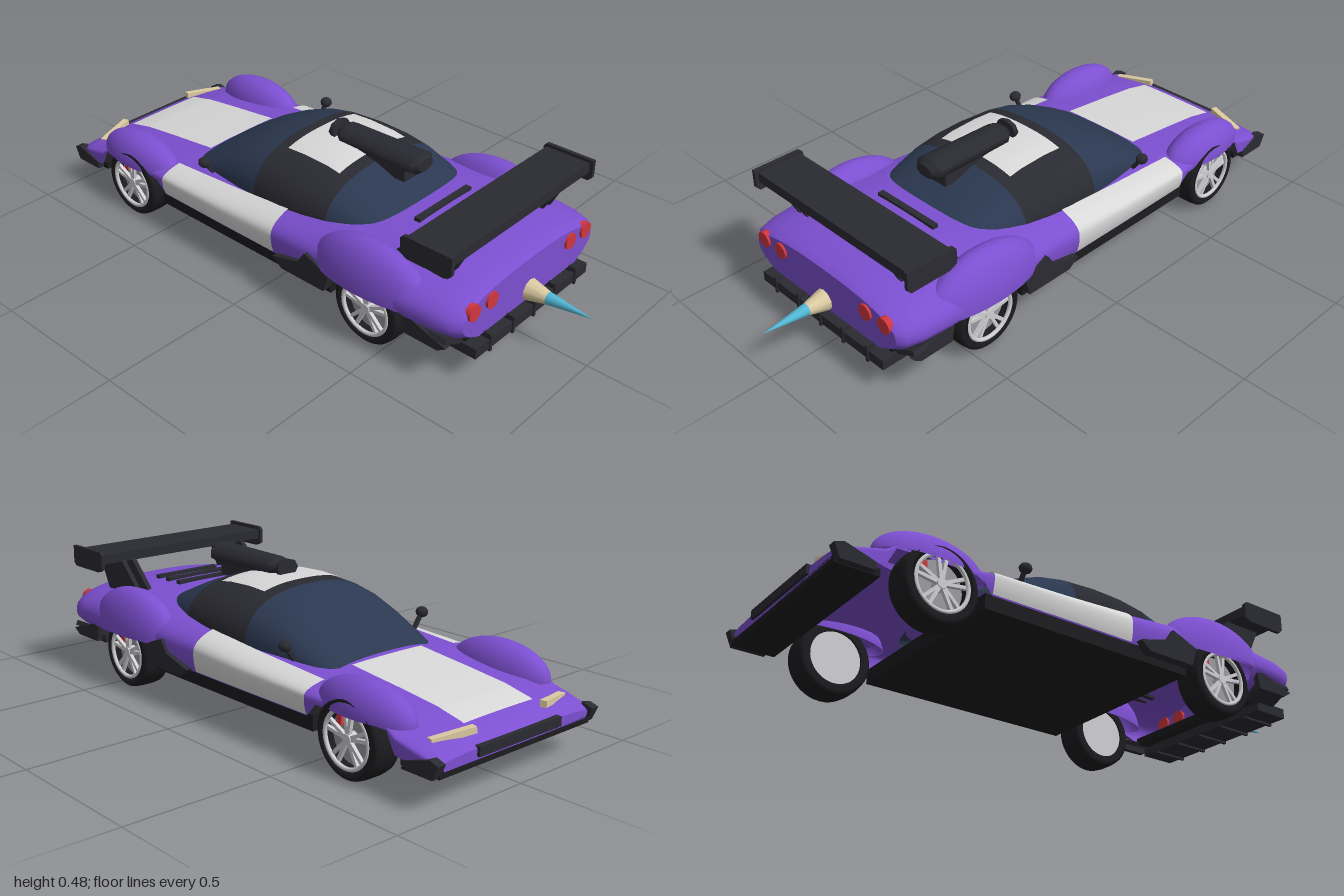
import * as THREE from 'three';

const mat = (name, color, double) => {
  const m = new THREE.MeshStandardMaterial({ color });
  m.name = name;
  if (double) m.side = THREE.DoubleSide;
  return m;
};
const M = {
  paint: mat('purple paint', 0x7c4fd0, true),
  white: mat('white stripe', 0xd8d8d8, true),
  glass: mat('navy glass', 0x2b3850, true),
  trim: mat('black trim', 0x2a2a32, true),
  dark: mat('tyre black', 0x1c1c1f),
  rim: mat('wheel silver', 0xd0d0d4),
  disc: mat('brake grey', 0x9a9aa0),
  red: mat('lamp red', 0xd0363e),
  beige: mat('lamp beige', 0xdccba2),
  flame: mat('flame blue', 0x52b8d6),
};

// Section keys: z, half width, top y, shoulder y, bottom y, tuck of the lower edge
const BODY = [
  [-0.985, 0.32, 0.15, 0.135, 0.115, 0.01], [-0.95, 0.342, 0.175, 0.145, 0.115, 0],
  [-0.9, 0.347, 0.193, 0.155, 0.12, 0], [-0.84, 0.35, 0.206, 0.17, 0.13, 0],
  [-0.81, 0.35, 0.212, 0.195, 0.19, 0], [-0.665, 0.352, 0.23, 0.2, 0.195, 0],
  [-0.53, 0.355, 0.245, 0.2, 0.19, 0], [-0.49, 0.36, 0.25, 0.2, 0.145, 0.01],
  [-0.2, 0.362, 0.275, 0.2, 0.145, 0.01], [0.04, 0.362, 0.3, 0.205, 0.145, 0.01],
  [0.27, 0.37, 0.325, 0.21, 0.15, 0.01], [0.31, 0.375, 0.328, 0.21, 0.195, 0],
  [0.45, 0.384, 0.334, 0.21, 0.195, 0], [0.56, 0.385, 0.332, 0.21, 0.195, 0],
  [0.6, 0.384, 0.329, 0.21, 0.145, 0.08], [0.7, 0.377, 0.318, 0.21, 0.14, 0.09],
  [0.755, 0.362, 0.307, 0.21, 0.138, 0.09], [0.778, 0.335, 0.292, 0.21, 0.142, 0.08],
];
const CABIN = [
  [-0.46, 0.235, 0.262, 0.215, 0.21, 0], [-0.38, 0.249, 0.315, 0.225, 0.22, 0],
  [-0.29, 0.262, 0.365, 0.235, 0.23, 0], [-0.2, 0.275, 0.402, 0.24, 0.235, 0],
  [-0.12, 0.282, 0.418, 0.245, 0.24, 0], [0, 0.286, 0.424, 0.25, 0.245, 0],
  [0.1, 0.283, 0.42, 0.255, 0.25, 0], [0.19, 0.275, 0.405, 0.26, 0.255, 0],
  [0.28, 0.258, 0.373, 0.265, 0.26, 0], [0.35, 0.238, 0.34, 0.27, 0.265, 0],
  [0.395, 0.205, 0.32, 0.275, 0.27, 0],
];
const N = 2.5;

function keyAt(keys, z) {
  let i = 0;
  while (i < keys.length - 2 && z > keys[i + 1][0]) i++;
  const a = keys[i], b = keys[i + 1], f = (z - a[0]) / (b[0] - a[0]);
  return a.map((v, k) => v + (b[k] - v) * f);
}
// Point on a section: |t| <= 1 is the curved top, beyond that the flank
function onSection(keys, z, t) {
  const [, w, top, sh, bot, tuck] = keyAt(keys, z);
  const s = Math.sign(t), u = Math.abs(t);
  if (u > 1) {
    const f = (u - 1) / 0.3;
    return [s * (w - tuck * f * f), sh + (bot - sh) * f, z];
  }
  const a = u * Math.PI / 2;
  return [s * w * Math.sin(a) ** (2 / N), sh + (top - sh) * Math.max(0, Math.cos(a)) ** (2 / N), z];
}
function topPoint(keys, z, x) {
  const [, w, top, sh] = keyAt(keys, z);
  return [x, sh + (top - sh) * Math.max(0, 1 - Math.abs(x / w) ** N) ** (1 / N), z];
}
// Surface over rows of z and columns of a second parameter
function sheet(keys, z0, z1, c0, c1, cols, point) {
  const rows = [z0, ...keys.map(k => k[0]).filter(z => z > z0 + 1e-4 && z < z1 - 1e-4), z1];
  const pos = [], idx = [];
  rows.forEach((z, i) => {
    for (let j = 0; j <= cols; j++) {
      pos.push(...point(keys, z, c0 + (c1 - c0) * j / cols));
      if (i < rows.length - 1 && j < cols) {
        const a = i * (cols + 1) + j, b = a + cols + 1;
        idx.push(a, b, a + 1, a + 1, b, b + 1);
      }
    }
  });
  const g = new THREE.BufferGeometry();
  g.setAttribute('position', new THREE.Float32BufferAttribute(pos, 3));
  g.setIndex(idx);
  g.computeVertexNormals();
  return g;
}
const lifted = f => (k, z, c) => { const p = f(k, z, c); return [p[0] * 1.008, p[1] + 0.004, p[2]]; };

function endCap(z) {
  const pts = [];
  for (let j = 0; j <= 52; j++) {
    const p = onSection(BODY, z, -1.3 + 2.6 * j / 52);
    pts.push(new THREE.Vector2(p[0], p[1]));
  }
  return new THREE.ShapeGeometry(new THREE.Shape(pts)).translate(0, 0, z);
}
// Plate with a side outline of [z, y] points, centred on x
function sidePlate(points, x, thick) {
  const s = new THREE.Shape(points.map(([z, y]) => new THREE.Vector2(-z, y)));
  return new THREE.ExtrudeGeometry(s, { depth: thick, bevelEnabled: false })
    .translate(0, 0, -thick / 2).rotateY(Math.PI / 2).translate(x, 0, 0);
}

function makeWheel() {
  const wheel = new THREE.Group();
  const put = (name, g, m) => { const o = new THREE.Mesh(g, m); o.name = name; wheel.add(o); };
  const tyre = [[0.09, -0.048], [0.112, -0.051], [0.122, -0.043], [0.125, -0.02], [0.125, 0.02],
    [0.122, 0.043], [0.112, 0.051], [0.09, 0.048], [0.09, -0.048]].map(p => new THREE.Vector2(...p));
  put('tyre', new THREE.LatheGeometry(tyre, 40).rotateZ(-Math.PI / 2), M.dark);
  put('rimRing', new THREE.TorusGeometry(0.088, 0.007, 8, 40).rotateY(Math.PI / 2).translate(0.045, 0, 0), M.rim);
  put('brakeDisc', new THREE.CylinderGeometry(0.084, 0.084, 0.01, 32).rotateZ(Math.PI / 2).translate(0.012, 0, 0), M.disc);
  put('innerRim', new THREE.CylinderGeometry(0.09, 0.09, 0.045, 32).rotateZ(Math.PI / 2).translate(-0.02, 0, 0), M.rim);
  put('hub', new THREE.CylinderGeometry(0.016, 0.02, 0.03, 16).rotateZ(-Math.PI / 2).translate(0.032, 0, 0), M.rim);
  for (let i = 0; i < 5; i++) for (const s of [-1, 1]) {
    const g = new THREE.BoxGeometry(0.012, 0.08, 0.011).translate(0.038, 0.048, 0)
      .rotateX(s * 0.16 + i * Math.PI * 0.4);
    put('spoke', g, M.rim);
  }
  put('brakeCaliper', new THREE.BoxGeometry(0.012, 0.04, 0.018).translate(0.022, 0.045, 0.05), M.red);
  return wheel;
}

export function createModel() {
  const car = new THREE.Group();
  car.name = 'car';
  const add = (name, g, m, x = 0, y = 0, z = 0) => {
    const o = new THREE.Mesh(g, m);
    o.name = name;
    o.position.set(x, y, z);
    car.add(o);
    return o;
  };
  const box = (name, w, h, d, m, x, y, z) => add(name, new THREE.BoxGeometry(w, h, d), m, x, y, z);

  // Body shell
  add('bodyShell', sheet(BODY, -0.985, 0.778, -1.3, 1.3, 52, onSection), M.paint);
  add('nosePanel', endCap(-0.985), M.paint);
  add('tailPanel', endCap(0.778), M.paint);
  add('hoodStripe', sheet(BODY, -0.91, -0.47, -0.15, 0.15, 10, lifted(topPoint)), M.white);
  box('floor', 0.69, 0.05, 0.79, M.dark, 0, 0.125, -0.115);

  // Cabin with glass front and rear, and a black roof band
  add('windscreen', sheet(CABIN, -0.46, -0.12, -1.3, 1.3, 40, onSection), M.glass);
  add('roof', sheet(CABIN, -0.12, 0.19, -1.3, 1.3, 40, onSection), M.trim);
  add('rearGlass', sheet(CABIN, 0.19, 0.395, -1.3, 1.3, 40, onSection), M.glass);
  add('roofStripe', sheet(CABIN, -0.075, 0.15, -0.16, 0.16, 10, lifted(topPoint)), M.white);

  // Roof scoop
  const scoop = new THREE.CylinderGeometry(0.052, 0.058, 0.3, 8).rotateY(Math.PI / 8).rotateX(-Math.PI / 2);
  add('roofScoop', scoop.scale(1, 0.62, 1), M.trim, 0, 0.445, 0.195);
  for (const [z, a, b] of [[0.035, 0.052, 0.035], [0.355, 0.035, 0.058]])
    add('scoopEnd', new THREE.CylinderGeometry(a, b, 0.022, 8).rotateY(Math.PI / 8)
      .rotateX(z < 0.1 ? Math.PI / 2 : Math.PI / 2).scale(1, 0.62, 1), M.trim, 0, 0.445, z);
  add('scoopLip', new THREE.CylinderGeometry(0.045, 0.045, 0.016, 8).rotateX(Math.PI / 2).scale(1, 0.7, 1), M.trim, 0, 0.446, 0.004);
  box('scoopBase', 0.07, 0.06, 0.24, M.trim, 0, 0.405, 0.19);

  // Rear deck slats
  for (const z of [0.44, 0.505, 0.565]) box('deckSlat', 0.26, 0.014, 0.022, M.trim, 0, keyAt(BODY, z)[2] + 0.002, z);

  // Rear wing
  box('wingBlade', 0.71, 0.034, 0.16, M.trim, 0, 0.427, 0.655);

  // Rear bumper and diffuser
  box('diffuser', 0.59, 0.035, 0.13, M.trim, 0, 0.11, 0.735);
  box('diffuserTop', 0.57, 0.025, 0.13, M.dark, 0, 0.137, 0.69);
  for (const x of [-0.225, -0.11, 0, 0.11, 0.225]) box('diffuserFin', 0.01, 0.06, 0.135, M.trim, x, 0.115, 0.737);

  // Exhaust and flame
  add('exhaust', new THREE.CylinderGeometry(0.02, 0.038, 0.075, 10).rotateX(Math.PI / 2), M.beige, 0, 0.173, 0.81);
  add('flame', new THREE.ConeGeometry(0.022, 0.165, 10).rotateX(Math.PI / 2), M.flame, 0, 0.173, 0.917);

  // Front splitter
  box('splitter', 0.66, 0.025, 0.14, M.dark, 0, 0.11, -0.915);
  box('noseBar', 0.36, 0.03, 0.02, M.trim, 0, 0.14, -0.985);

  for (const s of [1, -1]) {
    // Wheels and fenders
    for (const [name, z] of [['rearWheel', 0.434], ['frontWheel', -0.665]]) {
      const w = makeWheel();
      w.name = name;
      w.position.set(s * 0.314, 0.125, z);
      if (s < 0) w.rotation.y = Math.PI;
      car.add(w);
    }
    const dome = () => new THREE.SphereGeometry(1, 32, 12, 0, Math.PI * 2, 0, Math.PI / 2);
    add('rearFender', dome().scale(0.082, 0.152, 0.23), M.paint, s * 0.32, 0.198, 0.425);
    add('frontFender', dome().scale(0.077, 0.1, 0.187), M.paint, s * 0.294, 0.195, -0.675);

    // Flank stripe and side scoop
    add('flankStripe', sheet(BODY, -0.49, 0.04, s > 0 ? 0.52 : -1.3, s > 0 ? 1.3 : -0.52, 16, lifted(onSection)), M.white);
    add('sideScoop', sidePlate([[0.3, 0.19], [0.2, 0.228], [0.17, 0.185], [0.06, 0.155], [0.1, 0.125], [0.28, 0.125]],
      s * 0.362, 0.035), M.trim);

    // Wing supports and end plates
    for (const x of [0.268, 0.225])
      add('wingSupport', sidePlate([[0.72, 0.42], [0.58, 0.42], [0.47, 0.31], [0.66, 0.3]], s * x, 0.017), M.trim);
    add('wingEndPlate', sidePlate([[0.748, 0.395], [0.748, 0.455], [0.575, 0.455], [0.565, 0.445], [0.565, 0.395], [0.59, 0.382], [0.735, 0.382]],
      s * 0.359, 0.013), M.trim);

    // Bumper corners
    add('bumperCorner', sidePlate([[0.75, 0.15], [0.72, 0.13], [0.6, 0.13], [0.59, 0.185], [0.62, 0.19]], 0, 0.02)
      .rotateZ(0), M.trim, s * 0.365, 0, 0);
    const strip = box('bumperEdge', 0.1, 0.018, 0.13, M.trim, s * 0.325, 0.147, 0.68);
    strip.rotation.z = s * 0.45;
    add('splitterTip', sidePlate([[-1, 0.145], [-0.97, 0.155], [-0.87, 0.125], [-0.87, 0.1], [-0.98, 0.1]], s * 0.338, 0.03), M.trim);

    // Lamps
    for (const x of [0.29, 0.205])
      add('tailLamp', new THREE.CylinderGeometry(0.027, 0.027, 0.02, 24).rotateX(Math.PI / 2), M.red, s * x, 0.247, 0.776);
    const lamp = box('headLamp', 0.145, 0.02, 0.022, M.beige, s * 0.22, 0.18, -0.93);
    lamp.rotation.set(0, -s * 0.27, -s * 0.1);

    // Mirrors
    add('mirror', new THREE.SphereGeometry(0.02, 12, 8).scale(1, 0.9, 1.1), M.trim, s * 0.3, 0.31, -0.335);
    const stalk = box('mirrorStalk', 0.012, 0.06, 0.012, M.trim, s * 0.282, 0.285, -0.335);
    stalk.rotation.z = -s * 0.6;
  }
  return car;
}
